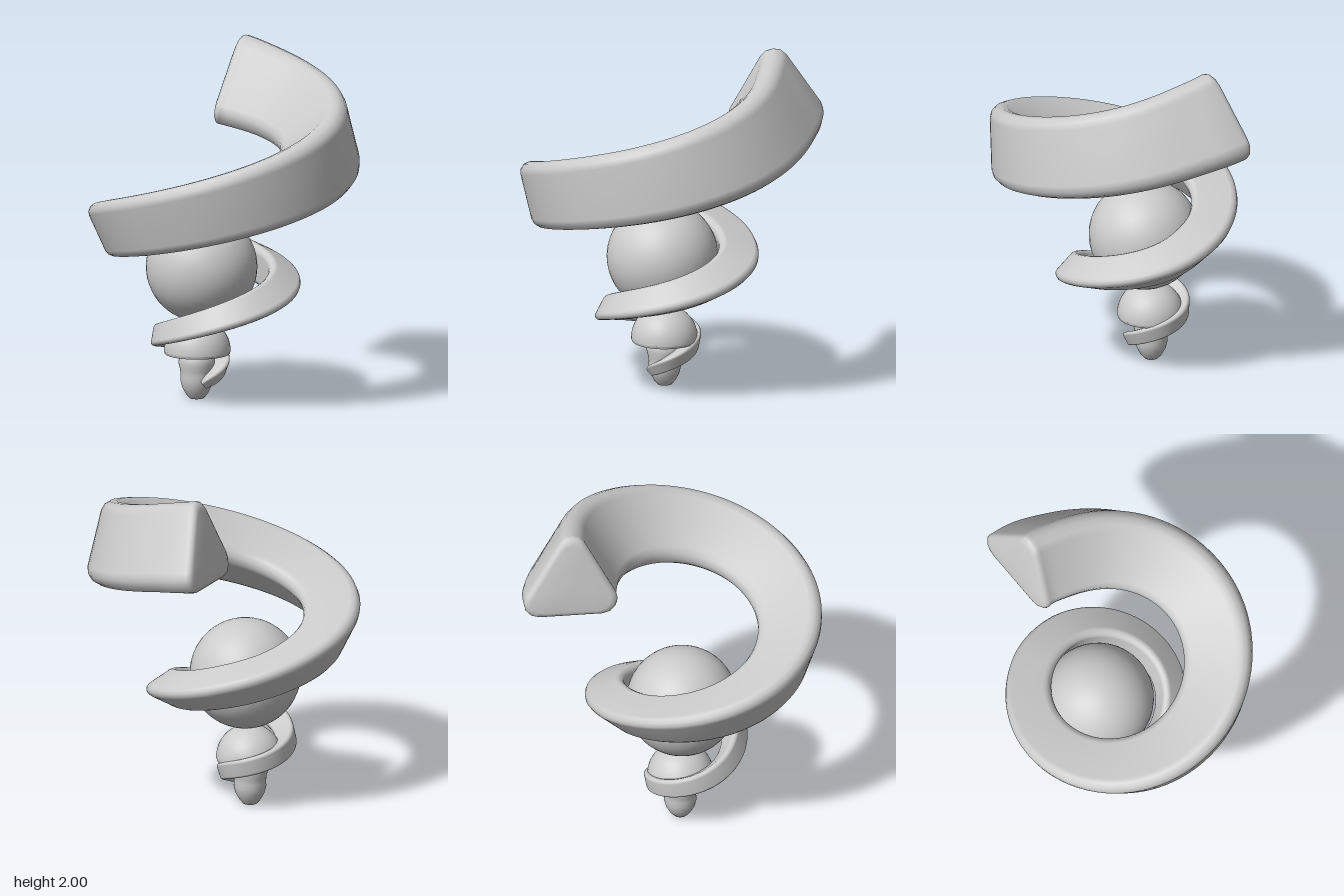
import * as THREE from 'three';

const material = new THREE.MeshStandardMaterial({ color: 0xcccccc, roughness: 0.7 });

// Spiral stations, top to bottom:
// [quarter turns, radius, height, axis z, section size, section roll in degrees]
const stations = [
  [-0.37, 0.69, 1.705, -0.09, 0.3, -3],
  [0, 0.635, 1.625, -0.09, 0.28, 5],
  [1, 0.638, 1.395, -0.09, 0.24, 29],
  [2, 0.60, 1.135, -0.09, 0.198, 48],
  [3, 0.49, 0.925, -0.09, 0.148, 64],
  [3.5, 0.45, 0.83, -0.10, 0.138, 75],
  [4, 0.432, 0.745, -0.11, 0.126, 86],
  [5, 0.36, 0.595, -0.12, 0.1, 108],
  [6, 0.275, 0.43, -0.15, 0.076, 130],
  [7, 0.223, 0.325, -0.175, 0.064, 152],
  [8, 0.153, 0.235, -0.20, 0.056, 165],
  [9, 0.115, 0.14, -0.21, 0.043, 178],
  [9.3, 0.1, 0.105, -0.21, 0.03, 182],
];
const spline = (a, b, c) => new THREE.CatmullRomCurve3(
  stations.map((s) => new THREE.Vector3(s[a], s[b], s[c])), false, 'catmullrom', 0.5);
const placement = spline(1, 2, 3);
const shaping = spline(0, 4, 5);

function centreAt(t) {
  const p = placement.getPoint(t);
  const angle = shaping.getPoint(t).x * Math.PI / 2;
  return new THREE.Vector3(-0.06 + p.x * Math.cos(angle), p.y, p.z + p.x * Math.sin(angle));
}

// Unit triangle with blunted corners, counter-clockwise
function bluntTriangle(round = 0.29, steps = 4) {
  const points = [];
  for (let corner = 0; corner < 3; corner++) {
    const mid = Math.PI / 2 + corner * Math.PI * 2 / 3;
    for (let k = 0; k <= steps; k++) {
      const a = mid + (k / steps - 0.5) * Math.PI * 2 / 3;
      points.push(new THREE.Vector2(
        (1 - round) * Math.cos(mid) + round * Math.cos(a),
        (1 - round) * Math.sin(mid) + round * Math.sin(a)));
    }
  }
  return points;
}

// Tapering, twisting sweep with softened end caps
function spiralGeometry() {
  const section = bluntTriangle();
  const n = section.length;
  const cap = [[0, 0.13], [0.45, 0.125], [0.84, 0.11], [0.93, 0.085], [0.98, 0.045]];
  const rings = cap.map(([scale, push]) => [0, scale, -push]);
  const segments = 280;
  for (let i = 0; i <= segments; i++) rings.push([i / segments, 1, 0]);
  [...cap].reverse().forEach(([scale, push]) => rings.push([1, scale, push]));

  const positions = [];
  const index = [];
  rings.forEach(([t, scale, push], i) => {
    const shape = shaping.getPoint(t);
    const size = shape.y;
    const roll = THREE.MathUtils.degToRad(shape.z);
    const tangent = centreAt(Math.min(t + 0.002, 1))
      .sub(centreAt(Math.max(t - 0.002, 0))).normalize();
    const out = new THREE.Vector3(tangent.z, 0, -tangent.x).normalize();
    const up = new THREE.Vector3().crossVectors(tangent, out);
    const centre = centreAt(t).addScaledVector(tangent, push * size);
    section.forEach((q, j) => {
      const r = q.clone().rotateAround(new THREE.Vector2(), -roll).multiplyScalar(size * scale);
      const v = centre.clone().addScaledVector(out, r.x).addScaledVector(up, r.y);
      positions.push(v.x, v.y, v.z);
      if (i === rings.length - 1) return;
      const a = i * n + j;
      const b = i * n + (j + 1) % n;
      index.push(a, b, a + n, b, b + n, a + n);
    });
  });
  const geometry = new THREE.BufferGeometry();
  geometry.setAttribute('position', new THREE.Float32BufferAttribute(positions, 3));
  geometry.setIndex(index);
  geometry.computeVertexNormals();
  return geometry;
}

export function createModel() {
  const group = new THREE.Group();
  const add = (name, geometry, x, y, z) => {
    const mesh = new THREE.Mesh(geometry, material);
    mesh.name = name;
    mesh.position.set(x, y, z);
    group.add(mesh);
  };

  add('spiralBand', spiralGeometry(), 0, 0, 0);
  add('largeBall', new THREE.SphereGeometry(0.317, 40, 28), -0.06, 0.775, -0.18);

  // Dome with a flat underside
  add('dome', new THREE.SphereGeometry(0.19, 36, 14, 0, Math.PI * 2, 0, Math.PI / 2), -0.06, 0.28, -0.215);
  add('domeBase', new THREE.CylinderGeometry(0.19, 0.185, 0.015, 36), -0.06, 0.273, -0.215);

  // Rounded foot with a slight waist
  const foot = [[0, 0], [0.04, 0.005], [0.062, 0.03], [0.083, 0.07], [0.093, 0.11],
    [0.091, 0.14], [0.094, 0.17], [0.104, 0.21], [0.1, 0.24], [0.085, 0.27]]
    .map(([r, y]) => new THREE.Vector2(r, y));
  add('foot', new THREE.LatheGeometry(foot, 32), -0.06, 0, -0.22);
  return group;
}
